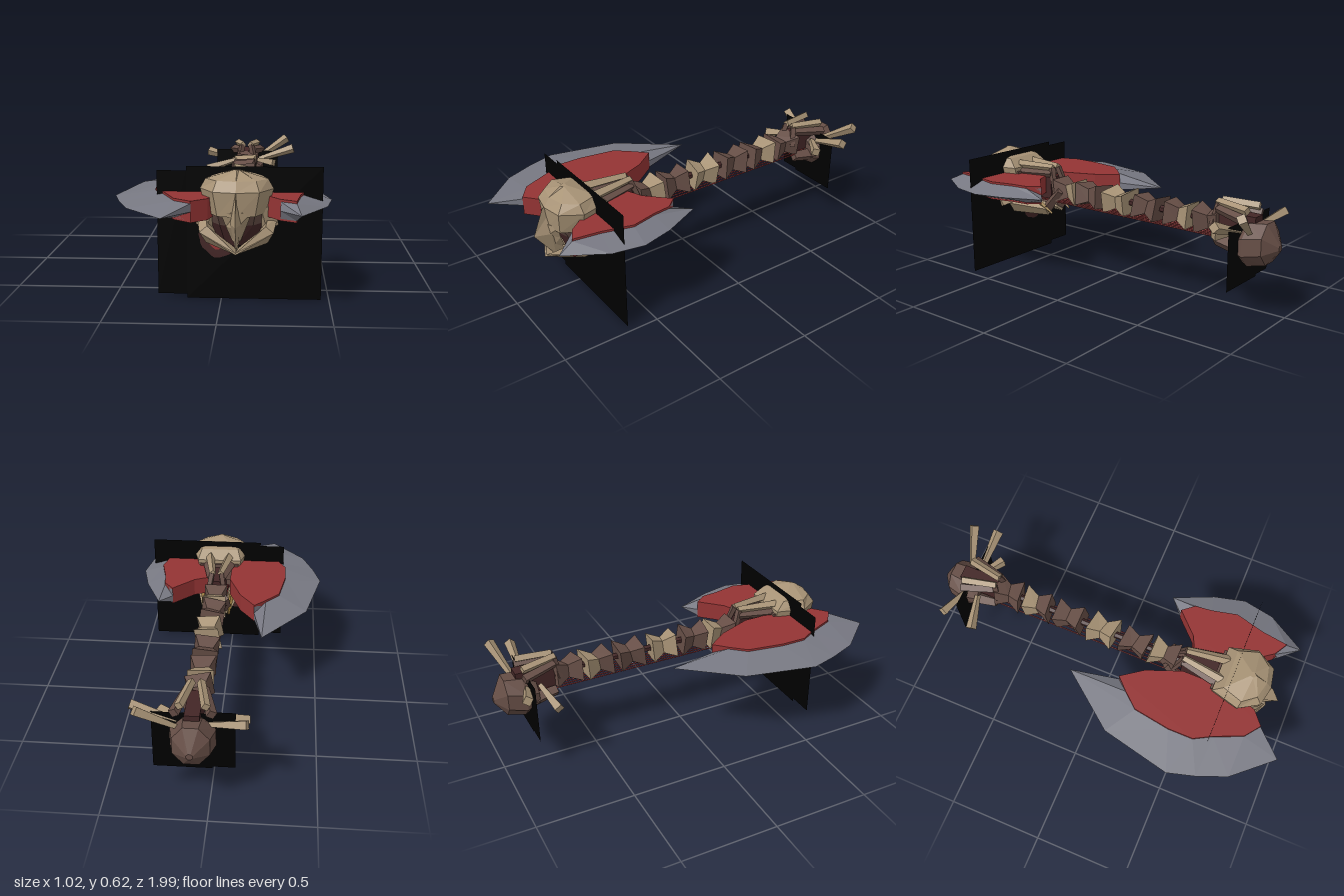
import * as THREE from 'three';

const mat = (name, color) => {
  const m = new THREE.MeshStandardMaterial({ color, side: THREE.DoubleSide, flatShading: true });
  m.name = name;
  return m;
};
const V = (x, y, z) => new THREE.Vector3(x, y, z);
const CX = 0.075; // centre line of neck and skulls

export function createModel() {
  const group = new THREE.Group();
  const bone = mat('bone', 0xa89376), brown = mat('dark bone', 0x664e46), steel = mat('steel', 0x777882),
    red = mat('blood red', 0x943434), maroon = mat('maroon', 0x432626), black = mat('black', 0x000000),
    gold = mat('old gold', 0x94763c);

  const add = (name, geo, material) => {
    const m = new THREE.Mesh(geo, material);
    m.name = name;
    group.add(m);
    return m;
  };
  // Surface through matching cross-sections, with optional caps
  const loft = (name, rings, material, closed = true) => {
    const n = rings[0].length, pos = [], idx = [];
    rings.forEach(r => r.forEach(p => pos.push(p.x, p.y, p.z)));
    for (let i = 0; i < rings.length - 1; i++)
      for (let j = 0; j < (closed ? n : n - 1); j++) {
        const a = i * n + j, b = i * n + (j + 1) % n;
        idx.push(a, a + n, b, b, a + n, b + n);
      }
    if (closed) for (let j = 1; j < n - 1; j++) {
      const e = (rings.length - 1) * n;
      idx.push(0, j, j + 1, e, e + j + 1, e + j);
    }
    const g = new THREE.BufferGeometry();
    g.setAttribute('position', new THREE.Float32BufferAttribute(pos, 3));
    g.setIndex(idx);
    const flat = g.toNonIndexed();
    flat.computeVertexNormals();
    return add(name, flat, material);
  };
  // Tapered bar between two points
  const bar = (name, a, b, r0, r1, material, sides = 4) => {
    const d = b.clone().sub(a);
    const m = add(name, new THREE.CylinderGeometry(r1, r0, d.length(), sides), material);
    m.position.copy(a).add(b).multiplyScalar(0.5);
    m.quaternion.setFromUnitVectors(V(0, 1, 0), d.normalize());
  };
  const box = (name, w, h, d, y, z, material) =>
    add(name, new THREE.BoxGeometry(w, h, d).translate(CX, y, z), material);

  // Axe blades: raised red body, steel bevel running out to the cutting edge
  const blade = (name, edge, ridge, inner) => {
    const shape = new THREE.Shape([...ridge, ...inner].map(([x, z]) => new THREE.Vector2(x, -z)));
    const body = new THREE.ExtrudeGeometry(shape, { depth: 0.096, bevelEnabled: false });
    body.rotateX(-Math.PI / 2).translate(0, 0.412, 0);
    add(name + 'Body', body, red);
    const line = (pts, y) => pts.map(([x, z]) => V(x, y, z));
    loft(name + 'Edge', [line(ridge, 0.497), line(edge, 0.46), line(ridge, 0.421)], steel, false);
  };
  blade('largeBlade',
    [[-0.15, 0.11], [-0.2, -0.14], [-0.43, 0.15], [-0.51, 0.51], [-0.47, 0.65], [-0.41, 0.8], [-0.235, 0.995], [-0.12, 0.86]],
    [[-0.15, 0.11], [-0.21, 0.17], [-0.28, 0.25], [-0.31, 0.44], [-0.31, 0.57], [-0.26, 0.66], [-0.2, 0.8], [-0.12, 0.86]],
    [[-0.05, 0.8], [0.0, 0.6], [0, 0.4], [-0.07, 0.22]]);
  blade('smallBlade',
    [[0.31, 0.27], [0.38, 0.2], [0.47, 0.4], [0.51, 0.56], [0.48, 0.72], [0.36, 0.92], [0.27, 0.82]],
    [[0.31, 0.27], [0.36, 0.33], [0.37, 0.42], [0.4, 0.55], [0.36, 0.7], [0.34, 0.84], [0.27, 0.8]],
    [[0.21, 0.72], [0.15, 0.62], [0.11, 0.42], [0.2, 0.38]]);

  // Black upright panels, with a painted blot on the larger one
  const panel = (name, x0, x1, y0, y1, z) =>
    add(name, new THREE.PlaneGeometry(x1 - x0, y1 - y0).translate((x0 + x1) / 2, (y0 + y1) / 2, z), black);
  panel('bodyPanel', -0.16, 0.463, 0, 0.625, 0.643);
  panel('bodySidePanel', -0.295, -0.16, 0.02, 0.605, 0.643);
  panel('headPanel', -0.01, 0.265, 0.17, 0.48, -0.83);
  panel('headSidePanel', -0.115, -0.01, 0.18, 0.49, -0.83);
  const blot = (name, r, x, y, z, material) => {
    const pts = [];
    for (let i = 0; i < 24; i++) {
      const a = i / 12 * Math.PI, q = r * (1 + 0.07 * Math.sin(3 * a) + 0.04 * Math.cos(7 * a));
      pts.push(new THREE.Vector2(x + q * Math.cos(a), y + q * 0.88 * Math.sin(a)));
    }
    add(name, new THREE.ShapeGeometry(new THREE.Shape(pts)).translate(0, 0, z), material);
  };
  for (const s of [1, -1]) {
    blot('blot', 0.093, -0.01, 0.285, 0.643 + s * 0.003, maroon);
    blot('blotCentre', 0.046, -0.015, 0.28, 0.643 + s * 0.006, red);
  }

  // Skull cranium: sections from crown to brow
  const ring = (y, w, z0, z1) => [[0, z1], [0.62, z1 - 0.02], [1, z0 * 0.45 + z1 * 0.55], [0.75, z0], [-0.75, z0],
    [-1, z0 * 0.45 + z1 * 0.55], [-0.62, z1 - 0.02]].map(([u, z]) => V(CX + u * w, y, z));
  loft('cranium', [ring(0.625, 0.015, 0.72, 0.75), ring(0.585, 0.14, 0.62, 0.81), ring(0.54, 0.165, 0.57, 0.84),
    ring(0.43, 0.135, 0.57, 0.83)], bone);
  box('cranialRim', 0.22, 0.1, 0.03, 0.47, 0.572, brown);
  // Shaded sockets above the open mouth
  loft('eyeSockets', [ring(0.43, 0.133, 0.58, 0.81), ring(0.38, 0.12, 0.58, 0.78)], brown);
  loft('mouth', [ring(0.38, 0.12, 0.58, 0.78), ring(0.28, 0.08, 0.6, 0.74)], maroon);
  // Snout and its sharp nose ridge
  const nose = (y, w, z, d) => [V(CX - w, y, z - d), V(CX, y, z), V(CX + w, y, z - d)];
  loft('snout', [nose(0.45, 0.07, 0.84, 0.03), nose(0.38, 0.045, 0.84, 0.05), nose(0.31, 0.02, 0.81, 0.05)], bone);
  loft('noseRidge', [nose(0.54, 0.006, 0.85, 0.06), nose(0.4, 0.025, 0.905, 0.08), nose(0.26, 0.006, 0.8, 0.06)], bone);
  box('palate', 0.13, 0.05, 0.2, 0.33, 0.53, brown);
  for (const s of [-1, 1]) {
    const X = u => CX + s * u;
    // Jaw half: broad at the cheek, meeting at the chin
    loft('jaw', [
      [V(X(0.15), 0.43, 0.62), V(X(0.185), 0.4, 0.66), V(X(0.17), 0.33, 0.62), V(X(0.12), 0.36, 0.56)],
      [V(X(0.13), 0.38, 0.78), V(X(0.165), 0.35, 0.78), V(X(0.14), 0.29, 0.72), V(X(0.09), 0.31, 0.68)],
      [V(X(0), 0.275, 0.85), V(X(0), 0.27, 0.86), V(X(0), 0.25, 0.75), V(X(0), 0.26, 0.72)]], bone);
    bar('cheek', V(X(0.12), 0.46, 0.7), V(X(0.145), 0.36, 0.68), 0.05, 0.045, bone);
    // Open arches behind the skull and in front of the head
    bar('skullArch', V(X(0.055), 0.548, 0.6), V(X(0.022), 0.552, 0.38), 0.026, 0.018, bone);
    bar('skullArchSide', V(X(0.075), 0.51, 0.6), V(X(0.035), 0.52, 0.38), 0.024, 0.018, brown);
    bar('skullArchPost', V(X(0.025), 0.55, 0.385), V(X(0.05), 0.42, 0.34), 0.018, 0.015, brown);
    bar('skullLowerArch', V(X(0.085), 0.33, 0.62), V(X(0.05), 0.325, 0.39), 0.05, 0.035, bone);
    bar('skullLowerPost', V(X(0.05), 0.33, 0.4), V(X(0.055), 0.44, 0.3), 0.03, 0.02, brown);
    bar('goldTusk', V(X(0.08), 0.38, 0.46), V(X(0.07), 0.31, 0.35), 0.016, 0.006, gold);
    bar('headArch', V(X(0.06), 0.53, -0.85), V(X(0.022), 0.54, -0.67), 0.022, 0.02, bone);
    bar('headArchSide', V(X(0.085), 0.49, -0.85), V(X(0.04), 0.51, -0.68), 0.026, 0.02, brown);
    bar('headArchPost', V(X(0.025), 0.54, -0.68), V(X(0.05), 0.43, -0.66), 0.018, 0.018, brown);
    bar('headLowerArch', V(X(0.06), 0.34, -0.84), V(X(0.045), 0.36, -0.68), 0.04, 0.028, brown);
  }
  box('skullHollow', 0.08, 0.12, 0.2, 0.44, 0.48, maroon);
  box('headHollow', 0.07, 0.12, 0.2, 0.44, -0.78, maroon);

  // Head at the far end of the neck, ending in a point
  const headRing = (z, w, y0, y1) => [0, 1, 2, 3, 4, 5, 6, 7].map(i => {
    const a = (i + 0.5) / 4 * Math.PI;
    return V(CX + w * Math.cos(a) * 1.08, (y0 + y1) / 2 + (y1 - y0) / 2 * Math.sin(a) * 1.08, z);
  });
  loft('head', [headRing(-0.78, 0.085, 0.3, 0.43), headRing(-0.85, 0.105, 0.26, 0.47),
    headRing(-0.94, 0.085, 0.28, 0.48), headRing(-0.995, 0.015, 0.35, 0.38)], brown);

  // Tuning pegs
  [[0.15, -0.82, 0.36, -0.81, 0.5], [0.14, -0.87, 0.32, -0.925, 0.55], [0.13, -0.8, 0.24, -0.735, 0.42],
    [0, -0.84, -0.17, -0.885, 0.47], [0, -0.77, -0.17, -0.735, 0.38]]
    .forEach(([x0, z0, x1, z1, y]) => bar('peg', V(x0, 0.43, z0), V(x1, y, z1), 0.015, 0.028, bone));

  // Neck vertebrae: hourglass blocks, each turned a little
  [0.27, 0.11, -0.07, -0.26, -0.445, -0.615].forEach((z, i) => {
    const turn = 0.18 * Math.sin(i * 2.3);
    const sq = (dz, r) => [0, 1, 2, 3].map(k => {
      const a = Math.PI / 4 + k * Math.PI / 2 + turn;
      return V(CX + r * 1.414 * Math.cos(a), 0.438 + r * 1.35 * Math.sin(a), z + dz + 0.012 * Math.sin(a + i));
    });
    loft('vertebraFront', [sq(0.068, 0.063), sq(0, 0.035)], i === 2 ? bone : brown);
    loft('vertebraBack', [sq(0, 0.035), sq(-0.068, 0.064)], i % 2 ? brown : bone);
  });
  bar('spine', V(CX, 0.44, 0.42), V(CX, 0.44, -0.8), 0.018, 0.018, maroon, 6);

  // Strings under the neck
  for (let i = 0; i < 6; i++) {
    const x = CX - 0.05 + i * 0.02;
    bar('string', V(x, 0.375, 0.6), V(x, 0.375, -0.8), 0.004, 0.004, red);
  }

  return group;
}
